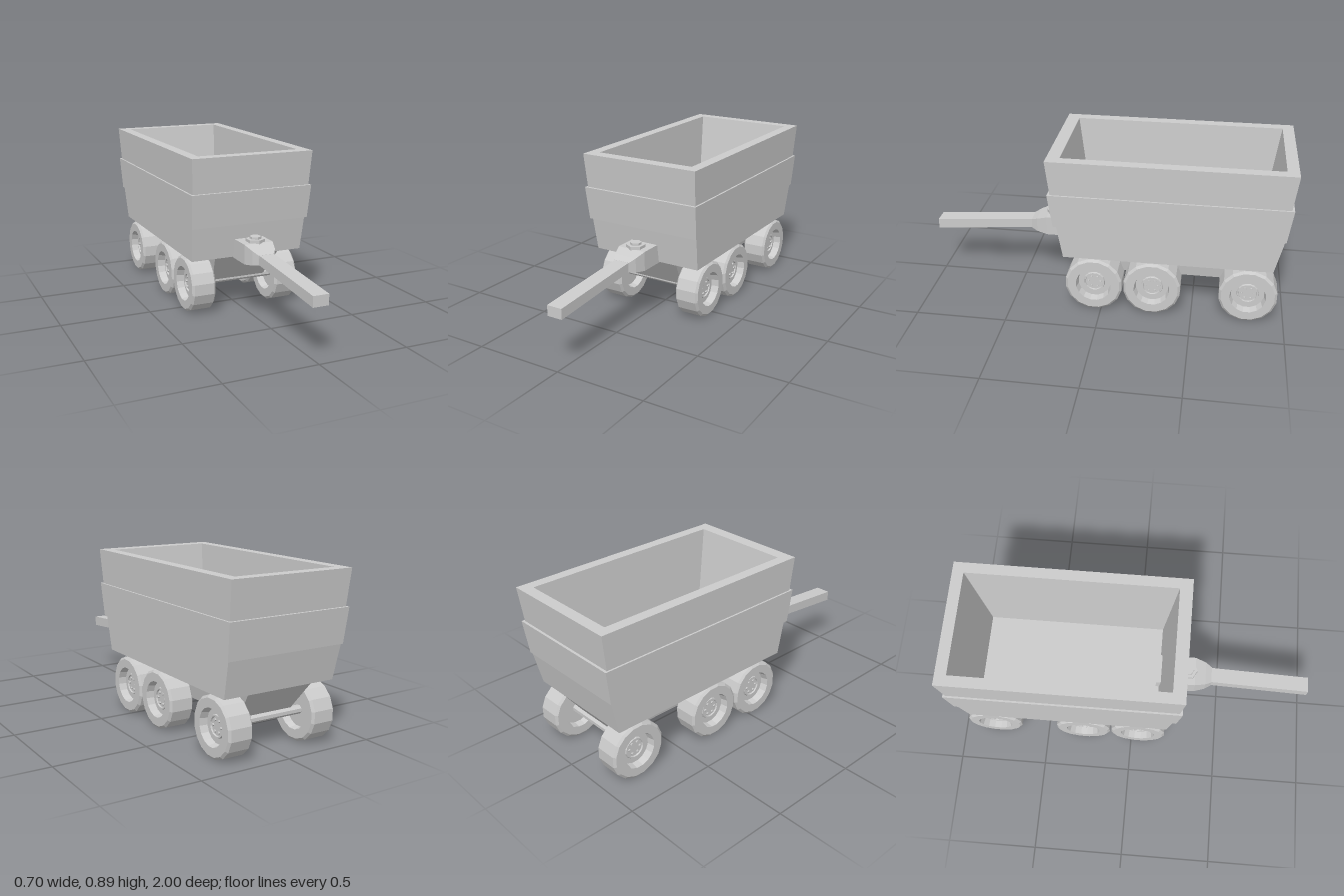
import * as THREE from 'three';

const material = new THREE.MeshStandardMaterial({ color: 0xcccccc, flatShading: true });

function part(name, geometry, parent) {
  const mesh = new THREE.Mesh(geometry, material);
  mesh.name = name;
  parent.add(mesh);
  return mesh;
}

// Skins a row of four-cornered loops and closes both ends
function loft(loops) {
  const pos = [];
  const quad = (a, b, c, d) => pos.push(...a, ...b, ...c, ...a, ...c, ...d);
  for (let s = 0; s < loops.length - 1; s++) {
    for (let i = 0; i < 4; i++) {
      const j = (i + 1) % 4;
      quad(loops[s][i], loops[s][j], loops[s + 1][j], loops[s + 1][i]);
    }
  }
  quad(...[...loops[0]].reverse());
  quad(...loops[loops.length - 1]);
  const g = new THREE.BufferGeometry();
  g.setAttribute('position', new THREE.Float32BufferAttribute(pos, 3));
  g.computeVertexNormals();
  return g;
}

// Horizontal rectangle: height, half width, front z, back z
const level = ([y, w, f, b]) => [[w, y, f], [w, y, b], [-w, y, b], [-w, y, f]];
// Upright rectangle: depth, half width, bottom y, top y
const section = ([z, w, lo, hi]) => [[w, lo, z], [w, hi, z], [-w, hi, z], [-w, lo, z]];

function createWheel() {
  const wheel = new THREE.Group();
  wheel.name = 'wheel';
  const profile = [
    [0, -0.03], [0.09, -0.03], [0.098, -0.069], [0.145, -0.069], [0.158, -0.058],
    [0.158, 0.058], [0.145, 0.069], [0.098, 0.069], [0.09, 0.028],
    [0.06, 0.028], [0.057, 0.038], [0.05, 0.038], [0.048, 0.03], [0, 0.03],
  ].map(([r, y]) => new THREE.Vector2(r, y));
  const tyre = new THREE.LatheGeometry(profile, 16, Math.PI / 16).rotateZ(-Math.PI / 2);
  part('tyreAndRim', tyre, wheel);
  // Ring of wheel nuts
  for (let i = 0; i < 6; i++) {
    const a = (i / 6) * Math.PI * 2;
    const nut = new THREE.CylinderGeometry(0.007, 0.007, 0.01, 6).rotateZ(-Math.PI / 2);
    part('wheelNut', nut, wheel).position.set(0.033, Math.sin(a) * 0.033, Math.cos(a) * 0.033);
  }
  return wheel;
}

export function createModel() {
  const model = new THREE.Group();
  model.name = 'cart';

  // Three flared tiers outside, then over the rim and down to the floor
  part('cargoBox', loft([
    [0.325, 0.326, 0.204, -0.92], [0.515, 0.335, 0.236, -0.962],
    [0.515, 0.342, 0.252, -0.968], [0.702, 0.351, 0.278, -0.992],
    [0.702, 0.341, 0.263, -0.978], [0.893, 0.35, 0.285, -1],
    [0.893, 0.29, 0.215, -0.938], [0.36, 0.27, 0.143, -0.865],
  ].map(level)), model);

  // Tapered keel below the box
  part('chassis', loft([
    [0.167, 0.157, 0.085, -0.8], [0.326, 0.19, 0.2, -0.918],
  ].map(level)), model);

  // Axles with a wheel at each end
  for (const z of [0.04, -0.28, -0.8]) {
    const axle = new THREE.CylinderGeometry(0.023, 0.023, 0.46, 8, 1, false, Math.PI / 8);
    part('axle', axle.rotateZ(Math.PI / 2), model).position.set(0, 0.156, z);
    for (const side of [1, -1]) {
      const wheel = createWheel();
      wheel.position.set(side * 0.249, 0.155, z);
      if (side < 0) wheel.rotation.y = Math.PI;
      model.add(wheel);
    }
  }

  // Hitch block, narrowing to the tow bar
  part('hitchBlock', loft([
    [0.125, 0.083, 0.32, 0.428], [0.345, 0.083, 0.32, 0.428],
    [0.405, 0.066, 0.328, 0.407], [0.44, 0.046, 0.337, 0.39],
  ].map(section)), model);
  part('towBar', loft([
    [0.43, 0.043, 0.338, 0.39], [1, 0.043, 0.29, 0.347],
  ].map(section)), model);

  // Hex pivot bolt on top of the hitch
  part('pivotWasher', new THREE.CylinderGeometry(0.052, 0.052, 0.022, 6), model)
    .position.set(0, 0.433, 0.305);
  part('pivotBolt', new THREE.CylinderGeometry(0.032, 0.032, 0.014, 6), model)
    .position.set(0, 0.45, 0.305);

  return model;
}
